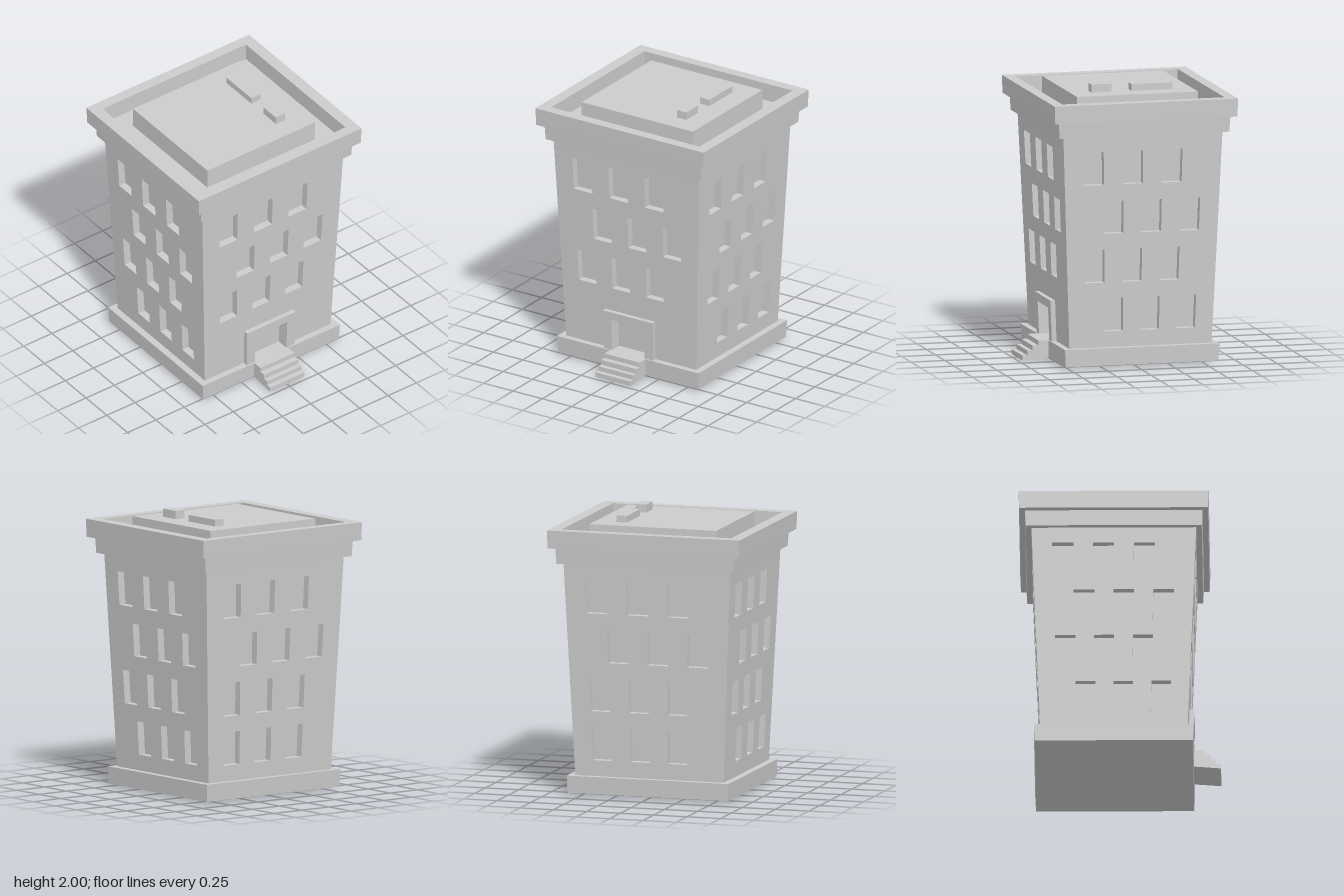
import * as THREE from 'three';

const BOTTOM = 0.14, TOP = 1.675, RECESS = 0.055;
const HALF_X = [0.525, 0.587], HALF_Z = [0.555, 0.623]; // wall half widths at bottom and top
const material = new THREE.MeshStandardMaterial({ color: 0xcccccc, flatShading: true });

const flare = ([a, b], y) => a + (b - a) * (y - BOTTOM) / (TOP - BOTTOM);
const polygon = (pts) => new THREE.Shape(pts.map(([x, y]) => new THREE.Vector2(x, y)));
const rect = (x0, y0, x1, y1) => polygon([[x0, y0], [x1, y0], [x1, y1], [x0, y1]]);

function add(parent, geometry, name) {
  const mesh = new THREE.Mesh(geometry, material);
  mesh.name = name;
  parent.add(mesh);
  return mesh;
}

// Moves every vertex by a rule, then refreshes the normals
function reshape(geometry, rule) {
  const p = geometry.attributes.position, v = new THREE.Vector3();
  for (let i = 0; i < p.count; i++) {
    rule(v.fromBufferAttribute(p, i));
    p.setXYZ(i, v.x, v.y, v.z);
  }
  geometry.computeVertexNormals();
  return geometry;
}

// Box whose footprint changes from bottom to top
function taperedBox(y0, y1, [bx, bz], [tx, tz] = [bx, bz]) {
  return reshape(new THREE.BoxGeometry(2, 1, 2), (v) => {
    const up = v.y > 0;
    v.set(v.x * (up ? tx : bx), up ? y1 : y0, v.z * (up ? tz : bz));
  });
}

// Slab drawn in (fraction of half width, height), bent onto a flared wall facing +z
function wallPanel(shape, half, reach, inner, outer) {
  const geo = new THREE.ExtrudeGeometry(shape, { depth: 1, bevelEnabled: false });
  return reshape(geo, (v) => {
    const offset = v.z > 0.5 ? outer : inner;
    const mitre = Math.abs(v.x) > 0.999 ? Math.sign(v.x) * offset : 0;
    v.set(v.x * flare(half, v.y) + mitre, v.y, flare(reach, v.y) + offset);
  });
}

const ROWS = [[0.255, 0.495], [0.61, 0.85], [0.965, 1.2], [1.32, 1.56]];
const DOOR = 0.25, DOOR_TOP = 0.375;

function wallShape(shifts, hasDoor) {
  const notch = hasDoor
    ? [[-DOOR, BOTTOM], [-DOOR, DOOR_TOP], [DOOR, DOOR_TOP], [DOOR, BOTTOM]] : [];
  const shape = polygon([[-1, BOTTOM], ...notch, [1, BOTTOM], [1, TOP], [-1, TOP]]);
  ROWS.forEach(([y0, y1], row) => {
    if (hasDoor && row === 0) return;
    for (const column of [-0.5, 0, 0.5]) {
      const u = column + shifts[row] * 0.125;
      shape.holes.push(rect(u - 0.13, y0, u + 0.13, y1));
    }
  });
  return shape;
}

export function createModel() {
  const model = new THREE.Group();
  model.name = 'building';
  const tower = new THREE.Group();
  tower.name = 'tower';
  tower.position.x = -0.043;
  model.add(tower);

  // Plinth and the core behind the window recesses
  add(tower, taperedBox(0.015, BOTTOM, [0.563, 0.6], [0.57, 0.605]), 'plinth');
  add(tower, taperedBox(BOTTOM, TOP,
    [HALF_X[0] - RECESS, HALF_Z[0] - RECESS],
    [HALF_X[1] - RECESS, HALF_Z[1] - RECESS]), 'windowBacks');

  // Four walls with staggered windows
  const walls = [
    ['frontWall', 0, [1, -1, 1, -1]],
    ['leftWall', Math.PI / 2, [1, -1, 1, -1]],
    ['backWall', Math.PI, [1, -1, 1, -1]],
    ['rightWall', -Math.PI / 2, [-1, -1, 1, -1]],
  ];
  walls.forEach(([name, angle, shifts], i) => {
    const [half, reach] = i % 2 ? [HALF_Z, HALF_X] : [HALF_X, HALF_Z];
    const geo = wallPanel(wallShape(shifts, i === 1), half, reach, -RECESS, 0);
    add(tower, geo, name).rotation.y = angle;
  });

  // Door surround
  const surround = polygon([
    [-0.378, BOTTOM], [-0.378, 0.435], [0.378, 0.435], [0.378, BOTTOM],
    [DOOR, BOTTOM], [DOOR, DOOR_TOP], [-DOOR, DOOR_TOP], [-DOOR, BOTTOM],
  ]);
  add(tower, wallPanel(surround, HALF_Z, HALF_X, -0.005, 0.035), 'doorSurround')
    .rotation.y = Math.PI / 2;

  // Entrance steps
  const steps = polygon([
    [0.524, 0.015], [0.717, 0], [0.717, 0.036], [0.68, 0.036], [0.68, 0.07],
    [0.644, 0.07], [0.644, 0.106], [0.6, 0.106], [0.6, 0.14], [0.524, 0.14],
  ]);
  const stepGeo = new THREE.ExtrudeGeometry(steps, { depth: 0.3, bevelEnabled: false });
  add(model, stepGeo.translate(0, 0, -0.15), 'entranceSteps');

  // Cornice, with a hollow parapet above it
  add(tower, taperedBox(TOP, 1.79, [0.626, 0.664], [0.633, 0.67]), 'cornice');
  const ring = rect(-0.677, -0.719, 0.677, 0.719);
  ring.holes.push(rect(-0.598, -0.633, 0.598, 0.633));
  const parapet = new THREE.ExtrudeGeometry(ring, { depth: 0.13, bevelEnabled: false });
  parapet.rotateX(-Math.PI / 2).translate(0, 1.79, 0);
  reshape(parapet, (v) => {
    const outside = Math.abs(v.x) > 0.65;
    if (outside && v.y < 1.8) v.set(v.x * 0.992, v.y, v.z * 0.994);
  });
  add(tower, parapet, 'parapet');

  // Raised roof with two small vents
  add(tower, taperedBox(1.79, 1.942, [0.447, 0.475]), 'roofBlock');
  for (const [name, x, halfWidth, top] of [
    ['longVent', -0.192, 0.15, 1.99], ['shortVent', 0.181, 0.074, 2],
  ]) {
    add(model, taperedBox(1.94, top, [halfWidth, 0.04]), name).position.set(x, 0, -0.28);
  }
  return model;
}
